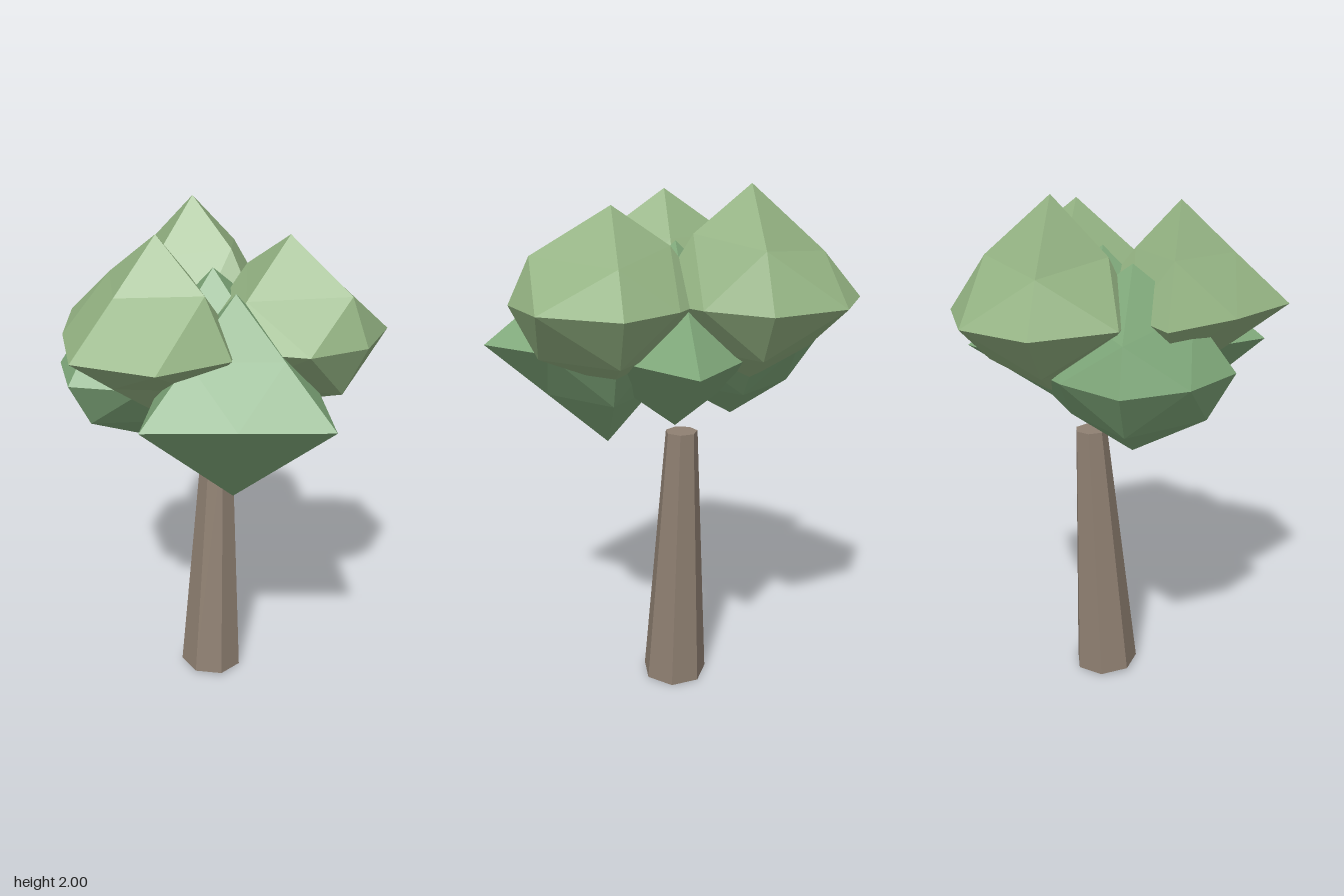
import * as THREE from 'three';

const material = (color) => new THREE.MeshStandardMaterial({ color, flatShading: true });

// Faceted leaf clump: an octahedron with every edge bent at its middle.
// radii: right(+x), left, up, down, front(+z), back. k: default bend as a share of the radii.
// bends: named edge middles (r/l, u/d, f/b) as offsets along the two axes.
function clumpGeometry(radii, k, bends) {
  const [r, l, u, d, f, b] = radii;
  const axes = {
    r: new THREE.Vector3(r, 0, 0), l: new THREE.Vector3(-l, 0, 0),
    u: new THREE.Vector3(0, u, 0), d: new THREE.Vector3(0, -d, 0),
    f: new THREE.Vector3(0, 0, f), b: new THREE.Vector3(0, 0, -b),
  };
  const middle = (p, q) => {
    const s = bends[p + q];
    const a = axes[p].clone(), c = axes[q].clone();
    if (!s) return a.add(c).multiplyScalar(k);
    return a.setLength(s[0]).add(c.setLength(s[1]));
  };
  const points = [];
  for (const x of 'rl') for (const y of 'ud') for (const z of 'fb') {
    const X = axes[x], Y = axes[y], Z = axes[z];
    const xy = middle(x, y), zy = middle(z, y), xz = middle(x, z);
    const flip = ((x === 'l') + (y === 'd') + (z === 'b')) % 2;
    for (const [p, q, s] of [[X, xy, xz], [Y, zy, xy], [Z, xz, zy], [xy, zy, xz]]) {
      points.push(...(flip ? [p, s, q] : [p, q, s]));
    }
  }
  const geometry = new THREE.BufferGeometry().setFromPoints(points);
  geometry.computeVertexNormals();
  return geometry;
}

export function createModel() {
  const tree = new THREE.Group();
  tree.name = 'tree';

  // Seven-sided tapering trunk, leaning toward +x
  const trunkGeometry = new THREE.CylinderGeometry(0.063, 0.13, 1.06, 7, 1, false, Math.PI);
  trunkGeometry.translate(0, 0.54, 0);
  const p = trunkGeometry.attributes.position;
  for (let i = 0; i < p.count; i++) {
    const t = (p.getY(i) - 0.01) / 1.06;
    p.setY(i, p.getY(i) - 0.06 * p.getX(i) * (1 - t));
    p.setX(i, p.getX(i) + 0.078 + 0.05 * t);
    p.setZ(i, p.getZ(i) - 0.02 - 0.018 * t);
  }
  trunkGeometry.computeVertexNormals();
  const trunk = new THREE.Mesh(trunkGeometry, material(0x8f8072));
  trunk.name = 'trunk';
  tree.add(trunk);

  // Two tiers of overlapping leaf clumps
  const upper = material(0x93b282);
  const lower = material(0x7fa87a);
  const clumps = [
    ['upperBackClump', upper, [0.22, 1.59, -0.27], [0.375, 0.3, 0.41, 0.3, 0.36, 0.42], 0.58, {
      ru: [0.24, 0.2], rb: [0.26, 0.29], lb: [0.27, 0.25], bu: [0.275, 0.17],
      bd: [0.23, 0.18], lu: [0.2, 0.2], rd: [0.24, 0.18] }],
    ['upperFrontClump', upper, [0.22, 1.59, 0.23], [0.395, 0.4, 0.34, 0.3, 0.37, 0.36], 0.58, {
      rf: [0.24, 0.28], lf: [0.22, 0.29], fu: [0.29, 0.17], fd: [0.27, 0.2],
      rd: [0.25, 0.19], ru: [0.24, 0.15], lu: [0.23, 0.14] }],
    ['upperLeftClump', upper, [-0.21, 1.59, -0.02], [0.32, 0.405, 0.37, 0.3, 0.37, 0.49], 0.52, {
      lf: [0.28, 0.29], fu: [0.24, 0.2], lu: [0.2, 0.185], ld: [0.22, 0.14],
      lb: [0.22, 0.27], rb: [0.14, 0.3], rf: [0.2, 0.19] }],
    ['lowerFrontClump', lower, [-0.065, 1.39, 0.23], [0.42, 0.47, 0.38, 0.41, 0.47, 0.36], 0.5, {
      rd: [0.28, 0.19] }],
    ['lowerBackClump', lower, [-0.065, 1.39, -0.27], [0.4, 0.37, 0.38, 0.31, 0.415, 0.36], 0.57, {
      lb: [0.225, 0.23], ld: [0.27, 0.18], bd: [0.23, 0.18], bu: [0.28, 0.16] }],
    ['lowerMiddleClump', lower, [0.078, 1.39, -0.02], [0.535, 0.4, 0.4, 0.31, 0.42, 0.42], 0.5, {}],
  ];
  for (const [name, mat, position, radii, k, bends] of clumps) {
    const clump = new THREE.Mesh(clumpGeometry(radii, k, bends), mat);
    clump.name = name;
    clump.position.set(...position);
    tree.add(clump);
  }
  return tree;
}
